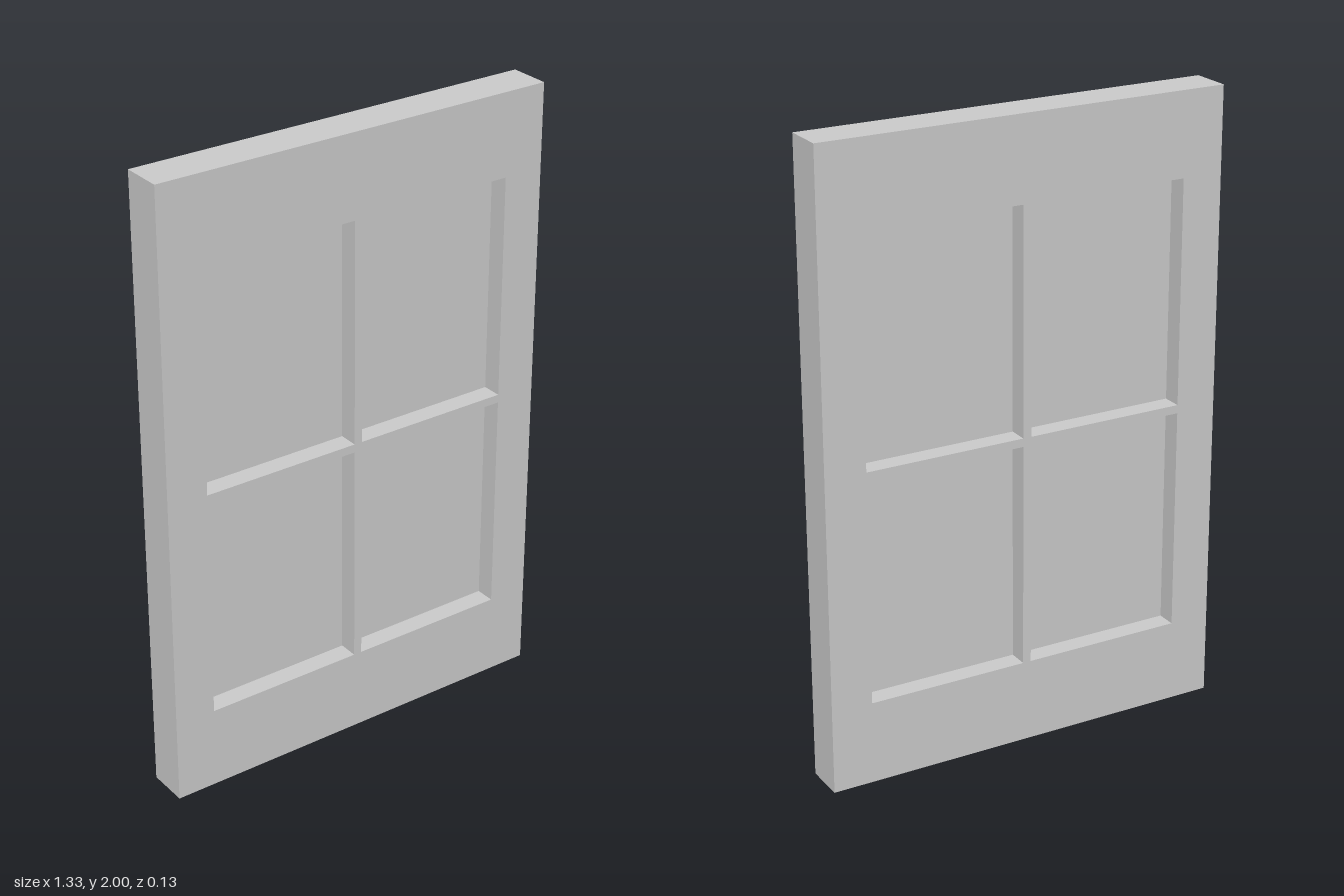
import * as THREE from 'three';

const W = 1.333, H = 2, D = 0.133;        // overall size
const BORDER_X = 0.133, BORDER_Y = 0.267; // stile and rail widths
const BAR = 0.027;                        // glazing bar width
const PANE_W = (W - 2 * BORDER_X - BAR) / 2;
const PANE_H = (H - 2 * BORDER_Y - BAR) / 2;

function rectangle(path, cx, cy, w, h) {
  path.moveTo(cx - w / 2, cy - h / 2);
  path.lineTo(cx + w / 2, cy - h / 2);
  path.lineTo(cx + w / 2, cy + h / 2);
  path.lineTo(cx - w / 2, cy + h / 2);
  path.closePath();
  return path;
}

export function createModel() {
  const group = new THREE.Group();
  group.name = 'window';
  const material = new THREE.MeshStandardMaterial({ color: 0xcccccc, flatShading: true });

  // Frame outline, with one opening and one thin pane per quarter
  const outline = rectangle(new THREE.Shape(), 0, H / 2, W, H);
  const paneGeometry = new THREE.BoxGeometry(PANE_W, PANE_H, 0.005);
  for (const [row, sy] of [['lower', -1], ['upper', 1]]) {
    for (const [side, sx] of [['Right', -1], ['Left', 1]]) {
      const x = sx * (BAR + PANE_W) / 2;
      const y = H / 2 + sy * (BAR + PANE_H) / 2;
      outline.holes.push(rectangle(new THREE.Path(), x, y, PANE_W, PANE_H));

      const pane = new THREE.Mesh(paneGeometry, material);
      pane.name = `${row}${side}Pane`;
      pane.position.set(x, y, 0);
      group.add(pane);
    }
  }

  // Frame and glazing bars, flush on both faces
  const frameGeometry = new THREE.ExtrudeGeometry(outline, { depth: D, bevelEnabled: false });
  frameGeometry.translate(0, 0, -D / 2);
  const frame = new THREE.Mesh(frameGeometry, material);
  frame.name = 'frame';
  group.add(frame);

  return group;
}
